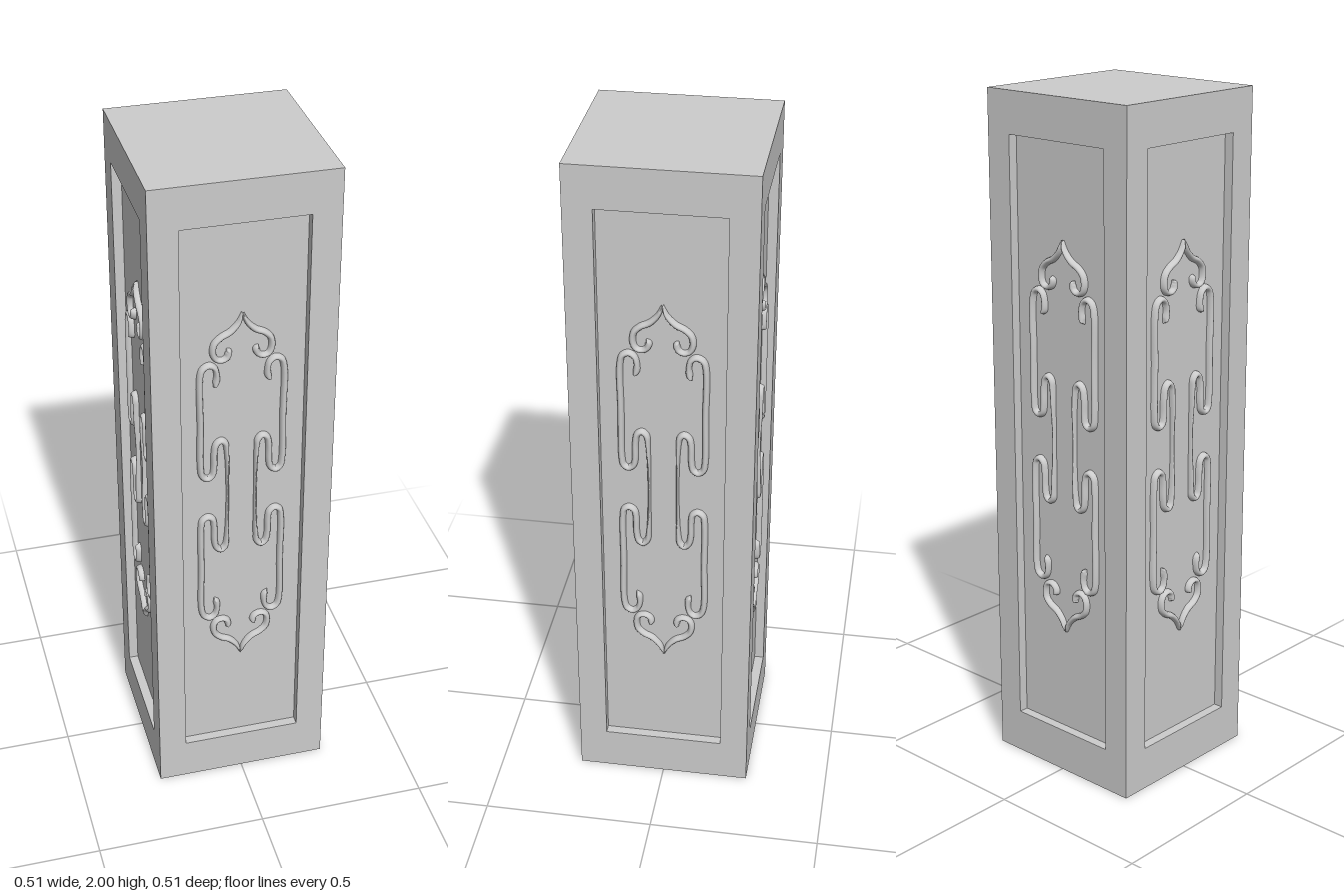
import * as THREE from 'three';

const HALF = 0.2575, HEIGHT = 2, DEPTH = 0.028;
const PANEL = { x: 0.176, y0: 0.13, y1: 1.88 };
const MID = 1.025; // height of the ornament's centre
const RELIEF = 0.016;
const material = new THREE.MeshStandardMaterial({ color: 0xcccccc, side: THREE.DoubleSide });

// Ornament strokes for one quarter: x, y above the centre, half width
const CREST = [
  [0, 0.582, 0.003], [0.012, 0.552, 0.007], [0.035, 0.527, 0.009], [0.06, 0.514, 0.009],
  [0.078, 0.495, 0.009], [0.081, 0.465, 0.009], [0.072, 0.448, 0.008], [0.055, 0.444, 0.008],
  [0.042, 0.452, 0.009], [0.038, 0.468, 0.009], [0.044, 0.477, 0.001],
];
const SCROLL = [
  [0.08, 0.362, 0.001], [0.073, 0.375, 0.009], [0.071, 0.4, 0.008], [0.077, 0.422, 0.008],
  [0.092, 0.432, 0.009], [0.109, 0.424, 0.009], [0.117, 0.4, 0.009], [0.117, 0.25, 0.009],
  [0.117, 0.1, 0.009], [0.112, 0.075, 0.009], [0.098, 0.066, 0.009], [0.084, 0.075, 0.009],
  [0.079, 0.1, 0.009], [0.078, 0.15, 0.009], [0.072, 0.178, 0.009], [0.059, 0.187, 0.009],
  [0.047, 0.176, 0.009], [0.043, 0.15, 0.007], [0.04, 0, 0.004],
];

const flip = (points, sx, sy) => points.map(([x, y, w]) => [x * sx, y * sy, w]);

// Half-round bead of varying width swept along a flat curve
function beadGeometry(points) {
  const curve = new THREE.CatmullRomCurve3(points.map((p) => new THREE.Vector3(...p)));
  const steps = (points.length - 1) * 6, sides = 8;
  const position = [], index = [];
  for (let i = 0; i <= steps; i++) {
    const p = curve.getPoint(i / steps), t = curve.getTangent(i / steps);
    const len = Math.hypot(t.x, t.y) || 1;
    const height = Math.min(RELIEF, p.z * 3);
    for (let j = 0; j <= sides; j++) {
      const a = (j / sides) * Math.PI, off = Math.cos(a) * p.z;
      position.push(p.x - (t.y / len) * off, p.y + (t.x / len) * off, Math.sin(a) * height);
      if (i < steps && j < sides) {
        const k = i * (sides + 1) + j, n = k + sides + 1;
        index.push(k, k + 1, n, n, k + 1, n + 1);
      }
    }
  }
  const geometry = new THREE.BufferGeometry();
  geometry.setAttribute('position', new THREE.Float32BufferAttribute(position, 3));
  geometry.setIndex(index);
  geometry.computeVertexNormals();
  return geometry;
}

// Raised border round the sunk panel, mitred at the post's corners
function frameGeometry() {
  const rect = (Type, x, y0, y1) => new Type([
    new THREE.Vector2(-x, y0), new THREE.Vector2(x, y0), new THREE.Vector2(x, y1), new THREE.Vector2(-x, y1),
  ]);
  const shape = rect(THREE.Shape, HALF, 0, HEIGHT);
  shape.holes.push(rect(THREE.Path, PANEL.x, PANEL.y0, PANEL.y1));
  const geometry = new THREE.ExtrudeGeometry(shape, { depth: DEPTH, bevelEnabled: false });
  const pos = geometry.attributes.position;
  for (let i = 0; i < pos.count; i++) {
    const x = pos.getX(i);
    if (pos.getZ(i) < DEPTH / 2 && Math.abs(x) > HALF - 0.001) pos.setX(i, Math.sign(x) * (HALF - DEPTH));
  }
  geometry.computeVertexNormals();
  return geometry;
}

export function createModel() {
  const group = new THREE.Group();
  const add = (parent, name, geometry) => {
    const mesh = new THREE.Mesh(geometry, material);
    mesh.name = name;
    parent.add(mesh);
    return mesh;
  };

  // Core whose sides are the sunk panels
  const inner = HALF - DEPTH;
  add(group, 'core', new THREE.BoxGeometry(inner * 2, HEIGHT, inner * 2)).position.y = HEIGHT / 2;

  // Shared side parts
  const frame = frameGeometry();
  const beads = [];
  for (const sx of [-1, 1]) {
    const lower = flip(SCROLL, sx, -1).reverse().slice(1);
    beads.push(['scroll', beadGeometry([...flip(SCROLL, sx, 1), ...lower])]);
    for (const sy of [-1, 1]) beads.push(['crest', beadGeometry(flip(CREST, sx, sy))]);
  }

  // The same frame and ornament on all four sides
  ['front', 'left', 'back', 'right'].forEach((name, i) => {
    const side = new THREE.Group();
    side.name = name + 'Side';
    side.rotation.y = (i * Math.PI) / 2;
    add(side, 'frame', frame).position.z = inner;
    const ornament = new THREE.Group();
    ornament.name = 'ornament';
    ornament.position.set(0, MID, inner);
    beads.forEach(([part, geometry]) => add(ornament, part, geometry));
    side.add(ornament);
    group.add(side);
  });
  return group;
}
